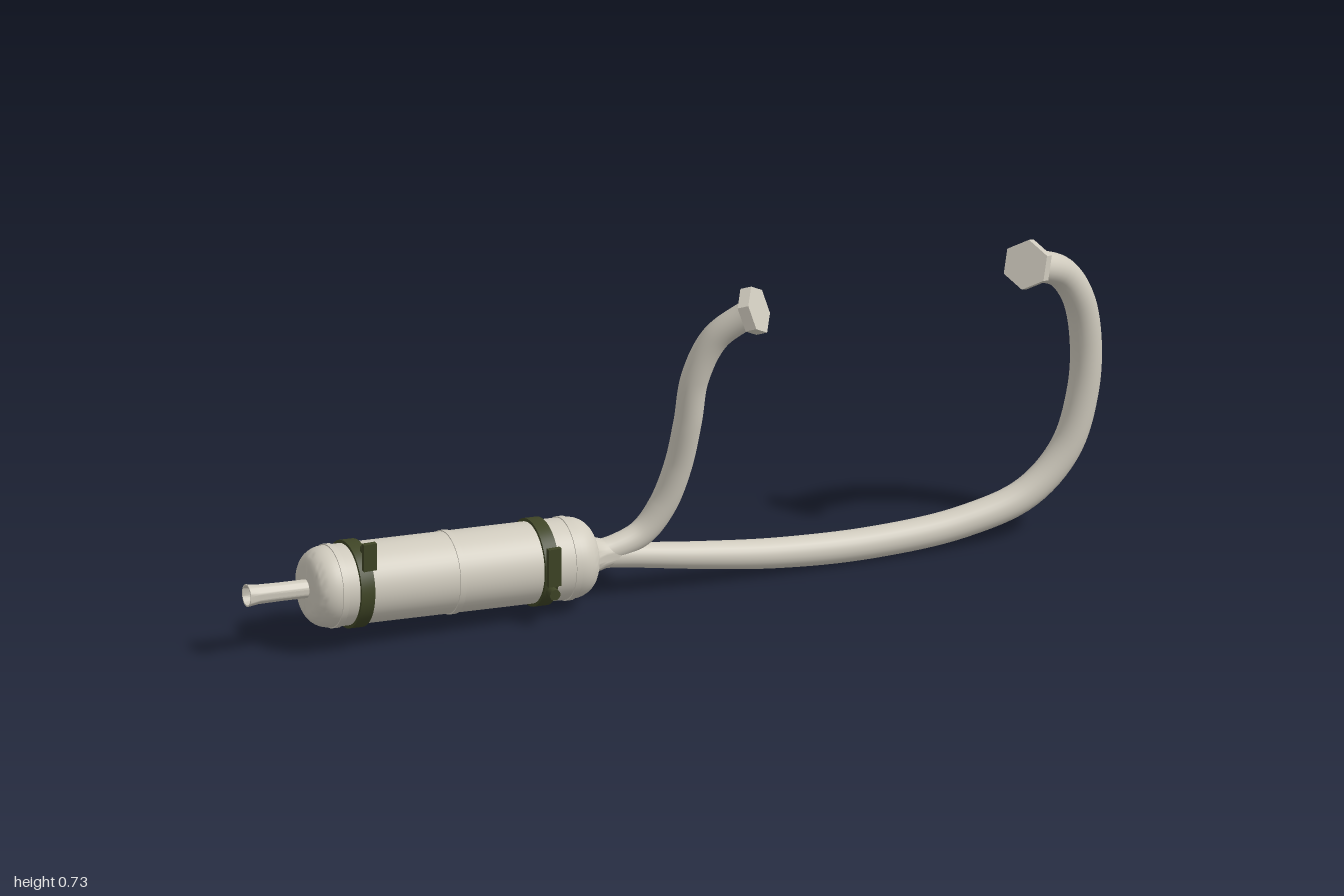
import * as THREE from 'three';
import { toCreasedNormals } from 'three/addons/utils/BufferGeometryUtils.js';

export function createModel() {
  const model = new THREE.Group();
  model.name = 'exhaustSystem';

  const metal = new THREE.MeshStandardMaterial({ color: 0xd0cbbe });
  metal.name = 'pale metal';
  const green = new THREE.MeshStandardMaterial({ color: 0x3f4526 });
  green.name = 'dark green';

  function add(parent, name, geometry, material, x = 0, y = 0, z = 0) {
    const mesh = new THREE.Mesh(geometry, material);
    mesh.name = name;
    mesh.position.set(x, y, z);
    parent.add(mesh);
    return mesh;
  }

  // Turned part along +x, profile given as [distance along axis, radius]
  function turned(profile) {
    const points = profile.map(([s, r]) => new THREE.Vector2(r, s));
    const geometry = new THREE.LatheGeometry(points, 48).rotateZ(-Math.PI / 2);
    return toCreasedNormals(geometry, 0.6);
  }

  // Closed ring with a rectangular section
  function ring(width, inner, outer) {
    const w = width / 2;
    return turned([[-w, inner], [-w, outer], [w, outer], [w, inner], [-w, inner]]);
  }

  // Pipe along a smooth path, widening from r0 to r1 over the first part
  function pipe(path, r0, r1) {
    const curve = new THREE.CatmullRomCurve3(path.map(p => new THREE.Vector3(...p)), false, 'centripetal');
    const steps = 90, sides = 24;
    const geometry = new THREE.TubeGeometry(curve, steps, 1, sides);
    const pos = geometry.attributes.position, v = new THREE.Vector3();
    for (let i = 0; i <= steps; i++) {
      const centre = curve.getPointAt(i / steps);
      const r = THREE.MathUtils.lerp(r0, r1, THREE.MathUtils.smoothstep(i / steps, 0, 0.35));
      for (let j = 0; j <= sides; j++) {
        const k = i * (sides + 1) + j;
        v.fromBufferAttribute(pos, k).sub(centre).multiplyScalar(r).add(centre);
        pos.setXYZ(k, v.x, v.y, v.z);
      }
    }
    return geometry;
  }

  // Muffler, tilted slightly down towards the pipes
  const muffler = new THREE.Group();
  muffler.name = 'muffler';
  muffler.position.set(-0.525, 0.123, -0.043);
  muffler.rotation.z = -0.05;
  model.add(muffler);

  const body = [[-0.335, 0], [-0.335, 0.05]];
  for (let i = 0; i <= 8; i++) {
    const a = (i / 8) * Math.PI / 2;
    body.push([-0.285 - 0.05 * Math.cos(a), 0.05 + 0.04 * Math.sin(a)]);
  }
  for (let i = 8; i >= 0; i--) {
    const a = (i / 8) * Math.PI / 2;
    body.push([0.285 + 0.053 * Math.cos(a), 0.045 + 0.045 * Math.sin(a)]);
  }
  body.push([0.345, 0.04], [0.365, 0.034], [0.40, 0.026], [0.40, 0]);
  add(muffler, 'mufflerBody', turned(body), metal);

  for (const s of [-0.277, 0, 0.275]) {
    add(muffler, 'seam', ring(0.014, 0.085, 0.0925), metal, s);
  }

  // Open tail pipe with a flared mouth
  add(muffler, 'tailPipe', turned([
    [-0.33, 0.017], [-0.45, 0.017], [-0.475, 0.022], [-0.475, 0.025],
    [-0.45, 0.0215], [-0.40, 0.0205], [-0.33, 0.0205],
  ]), metal);

  // Clamps around the muffler
  for (const s of [-0.228, 0.208]) {
    add(muffler, 'clampStrap', ring(0.032, 0.088, 0.097), green, s);
  }

  // Mounting tabs and their bosses
  function tab(x, y0, y1, bossY, bossZ0, bossZ1) {
    add(model, 'mountingTab', new THREE.BoxGeometry(0.03, y1 - y0, 0.012), green, x, (y0 + y1) / 2, 0.064);
    const boss = new THREE.CylinderGeometry(0.0125, 0.0125, bossZ1 - bossZ0, 16).rotateX(Math.PI / 2);
    add(model, 'mountingBoss', boss, green, x, bossY, (bossZ0 + bossZ1) / 2);
  }
  tab(-0.755, 0.207, 0.27, 0.25, 0.04, 0.06);
  tab(-0.318, 0.097, 0.185, 0.077, 0.045, 0.07);

  // Long and short header pipes
  add(model, 'longPipe', pipe([
    [-0.21, 0.107, -0.043], [-0.1, 0.092, -0.043], [0.05, 0.07, -0.034], [0.25, 0.045, -0.026],
    [0.47, 0.036, -0.018], [0.68, 0.052, -0.011], [0.83, 0.098, -0.006], [0.92, 0.19, -0.003],
    [0.96, 0.32, 0], [0.964, 0.44, 0.006], [0.94, 0.55, 0.02], [0.89, 0.625, 0.04], [0.8, 0.674, 0.084],
  ], 0.027, 0.035), metal);
  add(model, 'shortPipe', pipe([
    [-0.21, 0.107, -0.043], [-0.13, 0.115, -0.043], [-0.065, 0.14, -0.042], [-0.02, 0.2, -0.034],
    [0.01, 0.29, -0.02], [0.025, 0.4, 0], [0.037, 0.51, 0.014], [0.075, 0.605, 0.036], [0.14, 0.672, 0.08],
  ], 0.027, 0.031), metal);

  // Hexagonal end nuts, mirrored, each with a corner pointing up
  for (const [x, side] of [[0.793, -1], [0.145, 1]]) {
    const axis = new THREE.Vector3(side * 0.7, 0.33, 0.62).normalize();
    const up = new THREE.Vector3(0, 1, 0).addScaledVector(axis, -axis.y).normalize();
    const across = new THREE.Vector3().crossVectors(axis, up);
    const hex = toCreasedNormals(new THREE.CylinderGeometry(0.055, 0.055, 0.026, 6), 0.3);
    const nut = add(model, 'endNut', hex, metal, x, 0.676, 0.085);
    nut.quaternion.setFromRotationMatrix(new THREE.Matrix4().makeBasis(across, axis, up));
  }

  return model;
}
